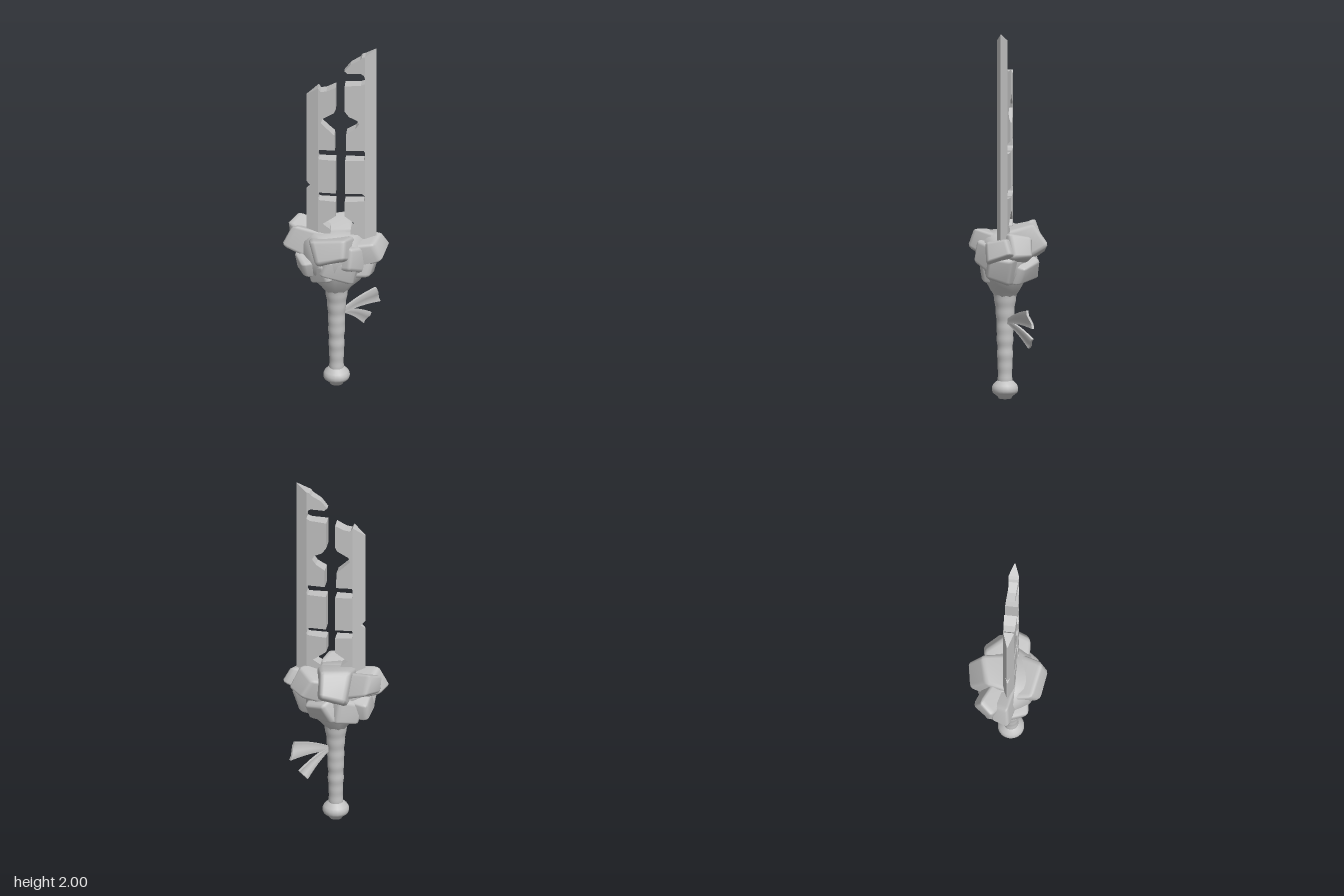
import * as THREE from 'three';
import { mergeVertices } from 'three/addons/utils/BufferGeometryUtils.js';
import { RoundedBoxGeometry } from 'three/addons/geometries/RoundedBoxGeometry.js';

const V = (x, y, z) => new THREE.Vector3(x, y, z);
const profile = pts => pts.map(([r, y]) => new THREE.Vector2(r, y));

// Move every vertex by a rule
function warp(geo, rule) {
  const p = geo.attributes.position, v = V(0, 0, 0);
  for (let i = 0; i < p.count; i++) {
    rule(v.fromBufferAttribute(p, i));
    p.setXYZ(i, v.x, v.y, v.z);
  }
  return geo;
}

// Weld the surface and shade it smoothly
function smooth(geo) {
  geo.deleteAttribute('normal');
  geo.deleteAttribute('uv');
  const g = mergeVertices(geo, 1e-4);
  g.computeVertexNormals();
  return g;
}

// Flat outline given thickness that varies linearly from x0 (k0) to x1 (k1)
function plate(points, x0, k0, x1, k1) {
  const geo = new THREE.ExtrudeGeometry(new THREE.Shape(profile(points)), { depth: 0.07, bevelEnabled: false });
  warp(geo, v => {
    const k = k0 + (k1 - k0) * (v.x - x0) / (x1 - x0);
    v.z = (v.z - 0.035) * k + 0.006;
  });
  geo.computeVertexNormals();
  return geo;
}

// Chamfered block growing from the guard's core to a tip, with half width, half height and roll
function rock(tip, w, h, roll, seed) {
  const base = V(tip.x * 0.1, 0.75 + (tip.y - 0.75) * 0.45, tip.z * 0.1);
  const dir = tip.clone().sub(base), len = dir.length();
  dir.normalize();
  const side = dir.clone().cross(V(0, 1, 0)).normalize();
  const up = side.clone().cross(dir);
  const c = Math.cos(roll), s = Math.sin(roll);
  const geo = warp(new RoundedBoxGeometry(1, 1, 1, 1, 0.13), v => {
    const t = v.y + 0.5, taper = 1.08 - 0.32 * t * t;
    const x = v.x * 2 * w * taper * (1 + 0.25 * Math.sin(seed * 2.3) * v.z);
    const z = v.z * 2 * h * taper * (1 + 0.25 * Math.cos(seed * 3.1) * v.x);
    const slant = 0.14 * (Math.sin(seed * 1.7) * v.x + Math.cos(seed * 2.9) * v.z) * t;
    v.set(x * c - z * s, (t + slant) * len, x * s + z * c);
  });
  geo.applyMatrix4(new THREE.Matrix4().makeBasis(side, dir, up).setPosition(base));
  return smooth(geo);
}

// Flaring cloth tail from a to b, gently waved
function ribbon(a, b, w0, w1, skew) {
  const dir = b.clone().sub(a), len = dir.length();
  dir.normalize();
  const n = dir.clone().cross(V(0, 1, 0)).normalize();
  const up = n.clone().cross(dir);
  const geo = warp(new THREE.BoxGeometry(1, 1, 1, 8, 4, 1), v => {
    const t = v.x + 0.5, s = v.y;
    v.x = t * len + s * skew * t;
    v.y = s * (w0 + (w1 - w0) * t) + 0.008 * Math.sin(t * Math.PI);
    v.z = v.z * 0.014 + t * 0.01 * Math.sin(s * Math.PI * 1.5);
  });
  geo.applyMatrix4(new THREE.Matrix4().makeBasis(dir, up, n).setPosition(a));
  geo.computeVertexNormals();
  return geo;
}

export function createModel() {
  const model = new THREE.Group();
  model.name = 'brokenSword';
  const stone = new THREE.MeshStandardMaterial({ color: 0xc2c2c2 });
  stone.name = 'stone gray';
  const add = (name, geo, parent = model) => {
    const mesh = new THREE.Mesh(geo, stone);
    mesh.name = name;
    parent.add(mesh);
    return mesh;
  };

  // Right half of the blade: outer cutting edge, then notched inner side
  add('rightBladeEdge', plate([
    [-0.095, 0.8], [-0.095, 1.765], [-0.16, 1.715], [-0.16, 1.2],
    [-0.135, 1.175], [-0.16, 1.155], [-0.16, 0.8],
  ], -0.16, 0.08, -0.095, 0.85));
  add('rightBladeInner', plate([
    [-0.095, 0.8], [-0.02, 0.8], [-0.03, 0.93], [-0.07, 0.96], [0, 1.01], [0, 1.095],
    [-0.09, 1.1], [-0.095, 1.11], [-0.095, 1.135], [-0.09, 1.145], [0, 1.145],
    [0, 1.34], [-0.09, 1.342], [-0.095, 1.352], [-0.095, 1.39], [-0.09, 1.4], [-0.005, 1.4],
    [-0.008, 1.49], [-0.035, 1.515], [-0.08, 1.56], [-0.072, 1.585], [-0.01, 1.622], [0, 1.645],
    [0, 1.775], [-0.05, 1.75], [-0.083, 1.745], [-0.095, 1.765],
  ], -0.095, 0.85, 0, 1));

  // Left half of the blade, with the surviving tip
  add('leftBladeEdge', plate([
    [0.157, 0.8], [0.215, 0.8], [0.215, 2], [0.157, 1.96],
  ], 0.157, 0.82, 0.215, 0.08));
  add('leftBladeInner', plate([
    [0.157, 0.8], [0.157, 1.11], [0.15, 1.1], [0.048, 1.095], [0.048, 1.01], [0.12, 0.955],
    [0.08, 0.93], [0.07, 0.8],
  ], 0.157, 0.82, 0.048, 1));
  add('leftBladeInner', plate([
    [0.157, 1.13], [0.157, 1.355], [0.15, 1.342], [0.05, 1.34], [0.05, 1.145], [0.14, 1.145],
  ], 0.157, 0.82, 0.048, 1));
  add('leftBladeInner', plate([
    [0.157, 1.39], [0.157, 1.8], [0.135, 1.79], [0.048, 1.785], [0.048, 1.635], [0.07, 1.603],
    [0.115, 1.58], [0.125, 1.56], [0.105, 1.53], [0.056, 1.5], [0.056, 1.4], [0.15, 1.4],
  ], 0.157, 0.82, 0.048, 1));
  add('leftBladeTip', plate([
    [0.157, 1.83], [0.157, 1.96], [0.14, 1.955], [0.13, 1.94], [0.08, 1.91], [0.045, 1.866],
    [0.062, 1.852], [0.135, 1.858], [0.15, 1.848],
  ], 0.157, 0.82, 0.045, 0.5));

  // Rocky guard: funnel-shaped core swelling out of the handle, ringed with blocks
  const guard = new THREE.Group();
  guard.name = 'rockyGuard';
  model.add(guard);
  const core = new THREE.LatheGeometry(profile([[0.05, 0.54], [0.085, 0.585], [0.13, 0.625],
    [0.17, 0.69], [0.19, 0.77], [0.18, 0.85], [0.13, 0.9], [0, 0.91]]), 9);
  add('guardCore', smooth(warp(core, v => {
    v.z = v.z * (v.y > 0.6 ? 0.78 : 0.95) + 0.006;
  })), guard);
  // Each block: tip x, y, z, half width, half height, roll
  [
    [-0.02, 0.885, -0.18, 0.095, 0.1, 0.1], [-0.235, 0.88, -0.115, 0.07, 0.065, 0.3],
    [-0.25, 0.86, -0.03, 0.065, 0.075, -0.2], [-0.195, 0.72, 0.06, 0.075, 0.065, 0.2],
    [-0.2, 0.72, -0.06, 0.08, 0.07, -0.3], [-0.03, 0.86, 0.175, 0.115, 0.075, -0.2],
    [0.03, 0.72, 0.14, 0.11, 0.075, 0.25], [-0.1, 0.69, 0.11, 0.08, 0.07, -0.2],
    [0.13, 0.79, 0.115, 0.085, 0.085, 0.3], [0.25, 0.84, 0.025, 0.085, 0.065, -0.25],
    [0.21, 0.72, 0.02, 0.085, 0.085, 0.2], [0.18, 0.85, -0.105, 0.085, 0.08, 0.1],
    [0.08, 0.69, -0.14, 0.1, 0.07, -0.2], [-0.1, 0.7, -0.135, 0.09, 0.08, 0.25],
    [0.1, 0.64, 0.03, 0.08, 0.06, 0.2], [-0.09, 0.64, 0.02, 0.08, 0.06, -0.2],
  ].forEach(([x, y, z, w, h, roll], i) => add('guardStone', rock(V(x, y, z), w, h, roll, i + 1), guard));

  // Wrapped grip with gentle uneven ripples
  const grip = [[0.037, 0.08]];
  for (let i = 1; i <= 40; i++) {
    const t = i / 40;
    const ripple = 0.0015 * Math.sin(t * 44) + 0.001 * Math.sin(t * 27);
    grip.push([0.037 + 0.014 * t + 0.014 * Math.max(0, t - 0.75) * 4 + ripple, 0.08 + t * 0.5]);
  }
  add('grip', new THREE.LatheGeometry(profile(grip), 24)).position.set(0.002, 0, 0.008);

  // Pommel
  add('pommel', new THREE.LatheGeometry(profile([[0, 0], [0.034, 0], [0.04, 0.012], [0.066, 0.032],
    [0.071, 0.045], [0.071, 0.06], [0.064, 0.075], [0.046, 0.093], [0.036, 0.1]]), 20)).position.set(0.002, 0, 0.008);

  // Two cloth tails tied behind the grip
  add('upperRibbon', ribbon(V(0.04, 0.425, -0.015), V(0.212, 0.46, -0.15), 0.025, 0.1, -0.02));
  add('lowerRibbon', ribbon(V(0.04, 0.42, -0.015), V(0.153, 0.32, -0.148), 0.02, 0.07, 0.01));

  return model;
}
